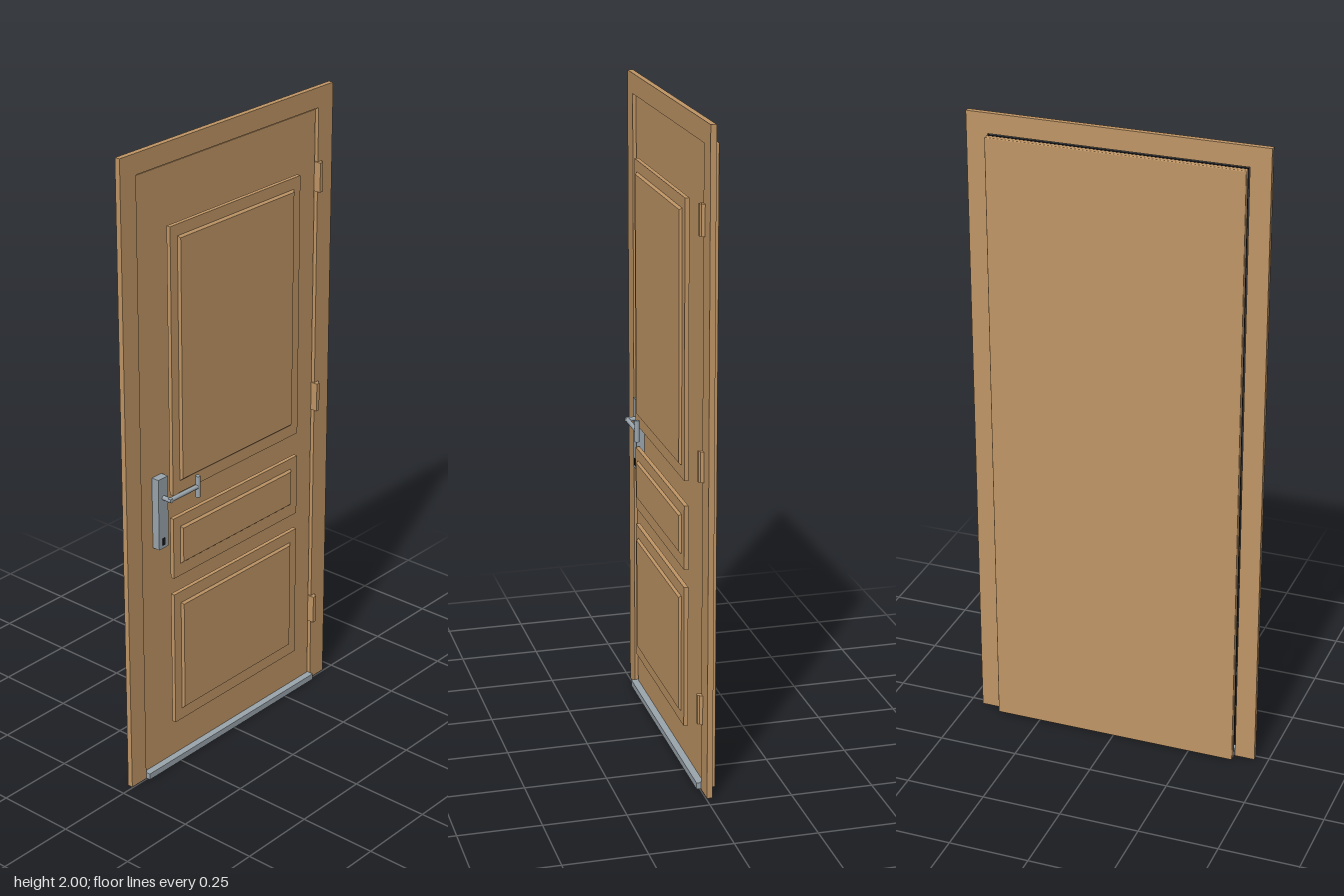
import * as THREE from 'three';
import { RoundedBoxGeometry } from 'three/addons/geometries/RoundedBoxGeometry.js';

const material = (name, color) => {
  const m = new THREE.MeshStandardMaterial({ color });
  m.name = name;
  return m;
};

export function createModel() {
  const wood = material('wood', 0xc09666);
  const metal = material('brushed metal', 0x9ba6ae);
  const black = material('black rubber', 0x1c1c1e);

  const door = new THREE.Group();
  door.name = 'door';

  const add = (name, geometry, mat, parent = door) => {
    const mesh = new THREE.Mesh(geometry, mat);
    mesh.name = name;
    parent.add(mesh);
    return mesh;
  };
  // Box given by its limits on each axis
  const box = (name, mat, [x0, x1], [y0, y1], [z0, z1], parent) => {
    const mesh = add(name, new THREE.BoxGeometry(x1 - x0, y1 - y0, z1 - z0), mat, parent);
    mesh.position.set((x0 + x1) / 2, (y0 + y1) / 2, (z0 + z1) / 2);
    return mesh;
  };

  // Frame: one arch-shaped casing, open at the bottom
  const arch = new THREE.Shape([
    [-0.458, 0], [-0.395, 0], [-0.395, 1.938], [0.392, 1.938],
    [0.392, 0], [0.458, 0], [0.458, 2], [-0.458, 2],
  ].map(([x, y]) => new THREE.Vector2(x, y)));
  const frame = add('frame', new THREE.ExtrudeGeometry(arch, { depth: 0.017, bevelEnabled: false }), wood);
  frame.position.z = -0.02;

  // Leaf: front core, rubber seal and rear slab
  box('leafCore', wood, [-0.388, 0.388], [0.02, 1.932], [-0.024, -0.012]);
  box('seal', black, [-0.392, 0.39], [0.02, 1.936], [-0.03, -0.0215]);
  const slab = add('leafSlab', new RoundedBoxGeometry(0.784, 1.936, 0.019, 2, 0.003), wood);
  slab.position.set(-0.001, 0.968, -0.0385);

  // Threshold under the leaf
  box('threshold', metal, [-0.393, 0.391], [0, 0.02], [-0.029, 0.01]);

  // Panels: flat moulding with a raised, bevelled field
  const panels = [
    { outer: [0.93, 1.763], inner: [0.968, 1.728] },
    { outer: [0.655, 0.853], inner: [0.695, 0.818] },
    { outer: [0.158, 0.6], inner: [0.195, 0.562] },
  ];
  for (const { outer, inner } of panels) {
    const panel = new THREE.Group();
    panel.name = 'panel';
    door.add(panel);
    box('panelMoulding', wood, [-0.285, 0.283], outer, [0.007, 0.02], panel);
    const field = box('panelField', wood, [-0.255, 0.253], inner, [0.02, 0.027], panel);
    // Narrow the front face to slope the edges
    const p = field.geometry.attributes.position;
    for (let i = 0; i < p.count; i++) {
      if (p.getZ(i) > 0) {
        p.setX(i, p.getX(i) - Math.sign(p.getX(i)) * 0.006);
        p.setY(i, p.getY(i) - Math.sign(p.getY(i)) * 0.006);
      }
    }
    field.geometry = field.geometry.toNonIndexed();
    field.geometry.computeVertexNormals();
  }

  // Hinges: a leaf plate and a knuckle
  for (const y of [0.26, 1.01, 1.725]) {
    const hinge = new THREE.Group();
    hinge.name = 'hinge';
    door.add(hinge);
    box('hingePlate', wood, [0.387, 0.4], [y - 0.046, y + 0.046], [-0.012, 0.011], hinge);
    const pin = add('hingeKnuckle', new THREE.CylinderGeometry(0.007, 0.007, 0.092, 16), wood, hinge);
    pin.position.set(0.401, y, -0.002);
  }

  // Lever handle on its plate
  const handle = new THREE.Group();
  handle.name = 'handle';
  door.add(handle);
  box('handlePlate', metal, [-0.34, -0.299], [0.77, 0.998], [-0.012, 0.013], handle);
  box('keyhole', black, [-0.325, -0.315], [0.78, 0.803], [0.012, 0.0145], handle);
  const spindle = add('spindle', new THREE.CylinderGeometry(0.007, 0.007, 0.034, 20), metal, handle);
  spindle.rotation.x = Math.PI / 2;
  spindle.position.set(-0.318, 0.934, 0.028);
  const lever = add('lever', new THREE.CylinderGeometry(0.007, 0.007, 0.13, 20), metal, handle);
  lever.rotation.z = Math.PI / 2;
  lever.position.set(-0.258, 0.934, 0.038);
  const tip = add('leverTip', new THREE.CylinderGeometry(0.0075, 0.0075, 0.068, 20), metal, handle);
  tip.position.set(-0.196, 0.934, 0.038);

  return door;
}
